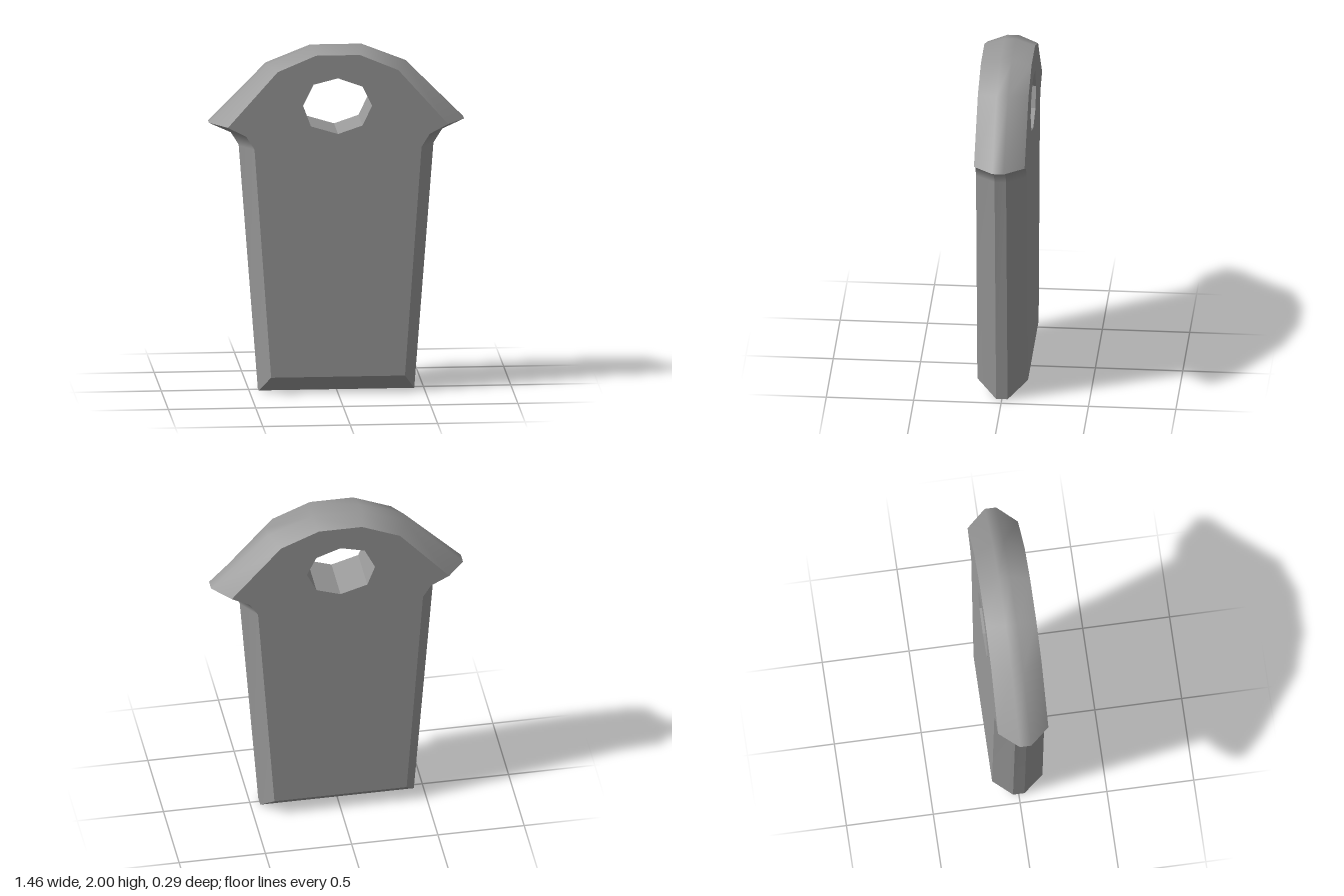
import * as THREE from 'three';

const HALF = 0.145; // half thickness of the slab
const EDGE = 0.033; // half thickness of the narrow outer edge

// Right half of each outline, bottom to top
const outerHalf = [[0.445, 0], [0.555, 1.43], [0.605, 1.51], [0.73, 1.567], [0.4, 1.9], [0.147, 2]];
const innerHalf = [[0.383, 0.097], [0.478, 1.43], [0.525, 1.505], [0.63, 1.56], [0.345, 1.88], [0.125, 1.972]];

// Octagonal hole, clockwise
const hole = [[0, 1.838], [0.14, 1.787], [0.195, 1.675], [0.14, 1.56],
  [0, 1.513], [-0.155, 1.56], [-0.2, 1.68], [-0.14, 1.803]];

const mirrored = (half) => [...half, ...half.map(([x, y]) => [-x, y]).reverse()];
const atDepth = (points, z) => points.map(([x, y]) => [x, y, z]);
const toVectors = (points) => points.map(([x, y]) => new THREE.Vector2(x, y));

// Smooth surface through rows of points, ordered front to back
function band(rows) {
  const n = rows[0].length;
  const index = [];
  for (let k = 0; k < rows.length - 1; k++) {
    for (let i = 0; i < n - 1; i++) {
      const a = k * n + i, b = a + n;
      index.push(a, b, b + 1, a, b + 1, a + 1);
    }
  }
  const g = new THREE.BufferGeometry();
  g.setAttribute('position', new THREE.Float32BufferAttribute(rows.flat(2), 3));
  g.setIndex(index);
  g.computeVertexNormals();
  return g;
}

// Flat face pierced by the hole; the back one is mirrored before its half turn
function faceGeometry(sign) {
  const shape = new THREE.Shape(toVectors(mirrored(innerHalf)));
  shape.holes.push(new THREE.Path(toVectors(hole.map(([x, y]) => [sign * x, y]))));
  return new THREE.ShapeGeometry(shape);
}

export function createModel() {
  const group = new THREE.Group();
  group.name = 'pendant';
  const material = new THREE.MeshStandardMaterial({ color: 0x9a9a9a });
  const add = (name, geometry) => {
    const mesh = new THREE.Mesh(geometry, material);
    mesh.name = name;
    group.add(mesh);
    return mesh;
  };

  // Front and back faces
  add('frontFace', faceGeometry(1)).position.z = HALF;
  const back = add('backFace', faceGeometry(-1));
  back.rotation.y = Math.PI;
  back.position.z = -HALF;

  // Rows of the rim: front bevel, narrow edge, back bevel
  const outer = mirrored(outerHalf);
  const inner = mirrored(innerHalf);
  const rows = [
    atDepth(inner, HALF), atDepth(outer, EDGE), atDepth(outer, -EDGE), atDepth(inner, -HALF),
  ];
  const stretch = (ids) => rows.map((row) => ids.map((i) => row[i]));

  // Arched top, smooth in both directions
  add('archedTop', band(stretch([3, 4, 5, 6, 7, 8])));

  // Sides with flared shoulders and the bottom, creased along the narrow edge
  const creased = { leftSide: [0, 1, 2, 3], rightSide: [8, 9, 10, 11], bottom: [11, 0] };
  for (const [name, ids] of Object.entries(creased)) {
    const part = stretch(ids);
    ['FrontBevel', 'Edge', 'BackBevel'].forEach((suffix, k) => {
      add(name + suffix, band(part.slice(k, k + 2)));
    });
  }

  // Flat walls of the hole
  hole.forEach((p, i) => {
    const wall = [p, hole[(i + 1) % hole.length]];
    add('holeWall', band([atDepth(wall, HALF), atDepth(wall, -HALF)]));
  });

  return group;
}
